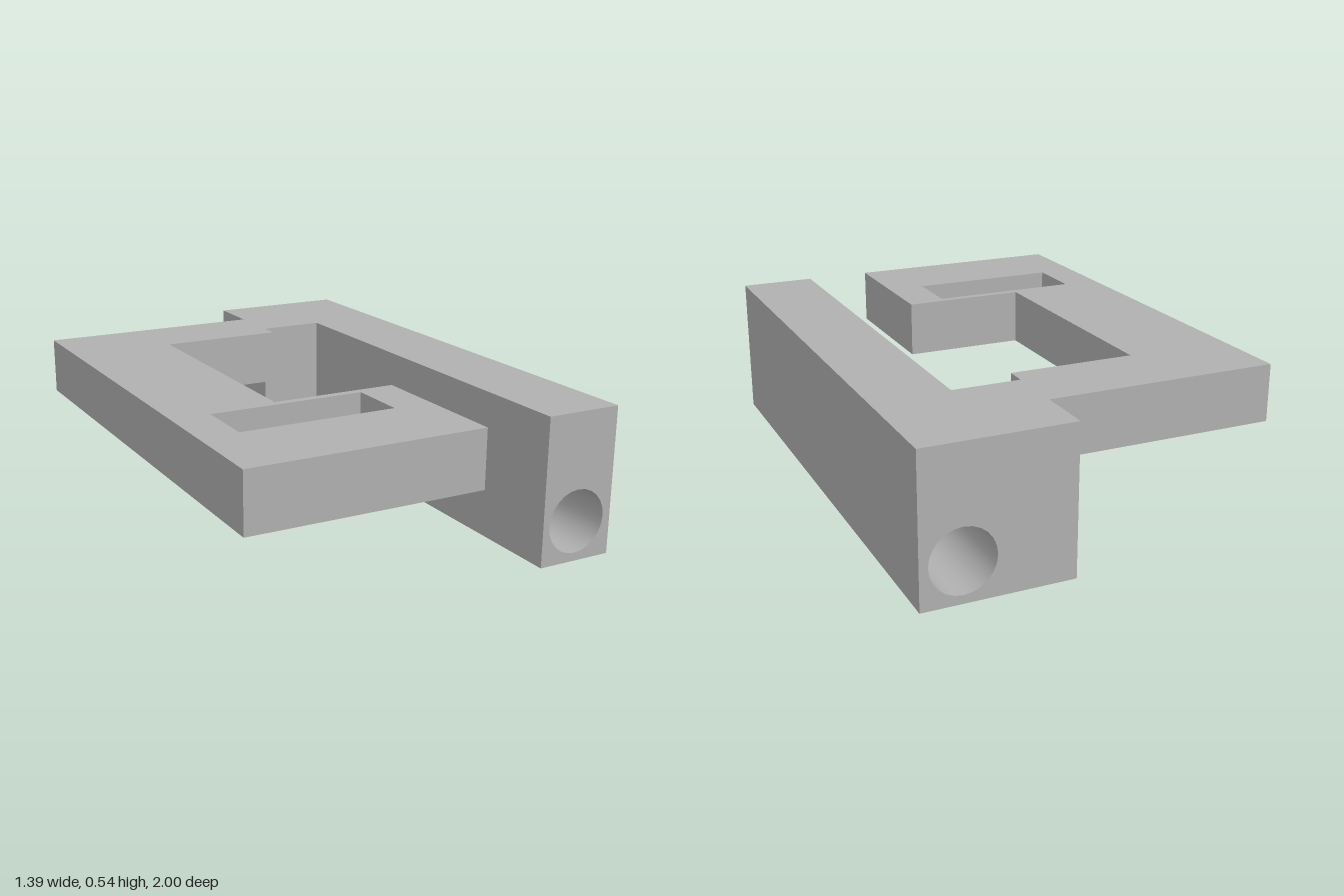
import * as THREE from 'three';
import { toCreasedNormals } from 'three/addons/utils/BufferGeometryUtils.js';

const TOP = 0.535, PLATE_BOTTOM = 0.325;
const INNER = 0.16, BAR = 0.41, SIDE = 0.695;

const polygon = (points, Type = THREE.Shape) =>
  new Type(points.map(([x, y]) => new THREE.Vector2(x, y)));

const rectangle = (x0, x1, y0, y1, Type) =>
  polygon([[x0, y0], [x1, y0], [x1, y1], [x0, y1]], Type);

export function createModel() {
  const model = new THREE.Group();
  model.name = 'bracket';
  const grey = new THREE.MeshStandardMaterial({ color: 0xb0b0b0 });
  grey.name = 'grey';

  const add = (name, geometry) => {
    const mesh = new THREE.Mesh(geometry, grey);
    mesh.name = name;
    model.add(mesh);
  };

  // Long bar with a twelve-sided bore along its whole length
  const barShape = rectangle(BAR, SIDE, 0, TOP);
  const bore = new THREE.Path();
  bore.absarc(0.55, 0.145, 0.115, 0, Math.PI * 2, true);
  barShape.holes.push(bore);
  const bar = new THREE.ExtrudeGeometry(barShape, { depth: 2, curveSegments: 12, bevelEnabled: false });
  bar.translate(0, 0, -1);
  add('boredBar', toCreasedNormals(bar, 0.7));

  // Full-height block joining the bar to the hooked plate
  const block = new THREE.BoxGeometry(BAR - INNER, TOP, 0.42);
  block.translate((BAR + INNER) / 2, TOP / 2, -0.79);
  add('cornerBlock', block);

  // Hooked plate, outlined in x and z, with a slot in its front foot
  const plateShape = polygon([
    [-SIDE, -0.79], [INNER, -0.79], [INNER, -0.505], [-0.305, -0.505],
    [-0.305, 0.43], [INNER, 0.43], [INNER, 1], [-SIDE, 1],
  ]);
  plateShape.holes.push(rectangle(-0.555, 0.015, 0.46, 0.68, THREE.Path));
  const plate = new THREE.ExtrudeGeometry(plateShape, { depth: TOP - PLATE_BOTTOM, bevelEnabled: false });
  plate.rotateX(Math.PI / 2);
  plate.translate(0, TOP, 0);
  add('hookedPlate', plate);

  return model;
}
